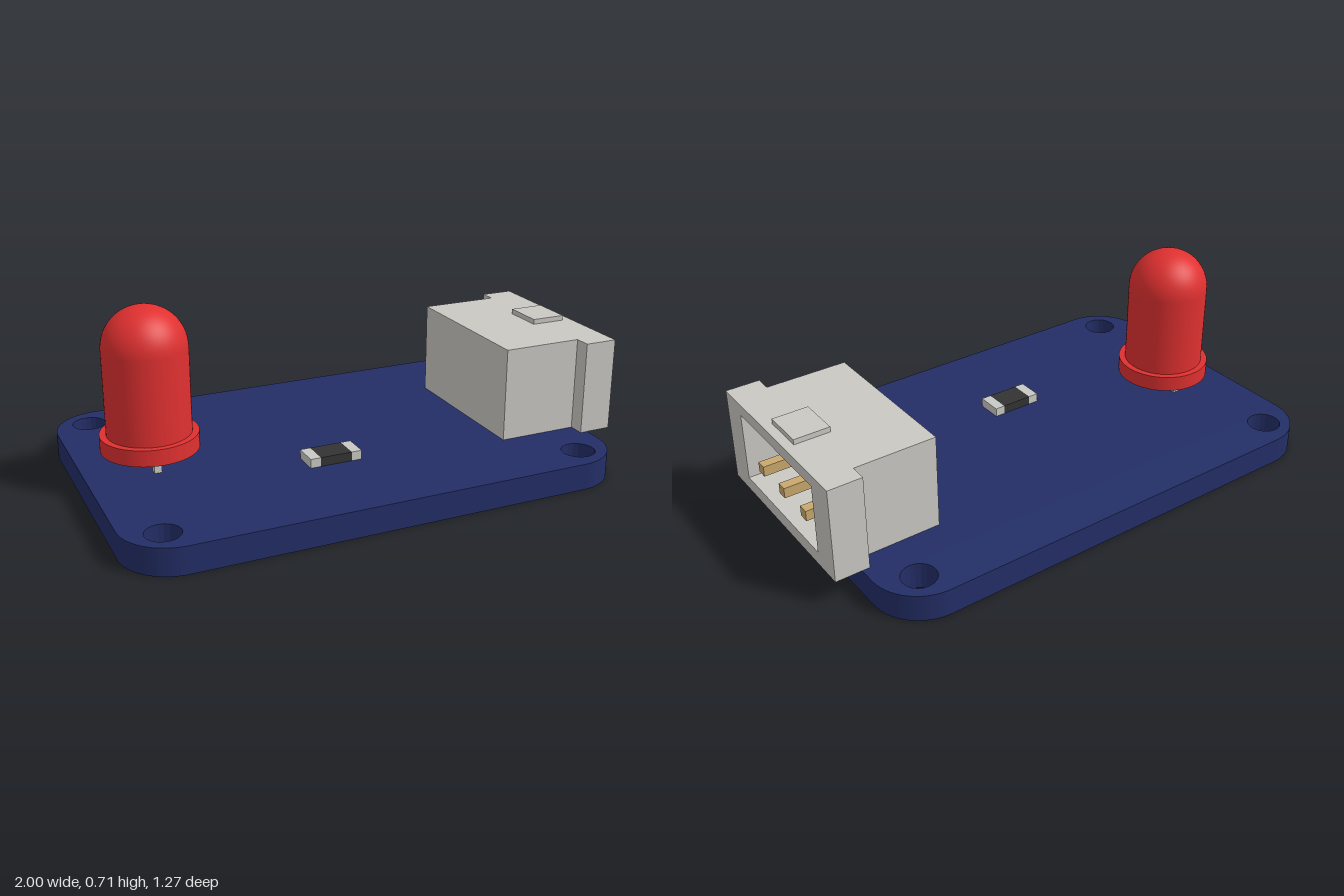
import * as THREE from 'three';

function material(name, color, extra = {}) {
  const m = new THREE.MeshStandardMaterial({ color, ...extra });
  m.name = name;
  return m;
}

// Rectangle path on a Shape or Path
function rect(path, x0, y0, x1, y1) {
  path.moveTo(x0, y0);
  path.lineTo(x1, y0);
  path.lineTo(x1, y1);
  path.lineTo(x0, y1);
  path.closePath();
  return path;
}

export function createModel() {
  const blue = material('board blue', 0x232e66);
  const red = material('lamp red', 0xe03030);
  const ivory = material('connector grey', 0xc9c8c3);
  const gold = material('pin gold', 0xc9a86c);
  const silver = material('solder silver', 0xc8c8c4);
  const black = material('resistor black', 0x333333);

  const model = new THREE.Group();
  model.name = 'lampModule';

  const add = (parent, name, geometry, mat) => {
    const mesh = new THREE.Mesh(geometry, mat);
    mesh.name = name;
    parent.add(mesh);
    return mesh;
  };
  // Box given by its lower and upper corners
  const box = (parent, name, mat, [x0, y0, z0], [x1, y1, z1]) => {
    const g = new THREE.BoxGeometry(x1 - x0, y1 - y0, z1 - z0);
    g.translate((x0 + x1) / 2, (y0 + y1) / 2, (z0 + z1) / 2);
    return add(parent, name, g, mat);
  };
  const group = (name) => {
    const g = new THREE.Group();
    g.name = name;
    model.add(g);
    return g;
  };

  // Circuit board: rounded slab with four mounting holes
  const top = 0.103, r = 0.19, L = -1, R = 0.9, W = 0.635;
  const outline = new THREE.Shape();
  outline.absarc(R - r, W - r, r, 0, Math.PI / 2);
  outline.absarc(L + r, W - r, r, Math.PI / 2, Math.PI);
  outline.absarc(L + r, -W + r, r, Math.PI, Math.PI * 1.5);
  outline.absarc(R - r, -W + r, r, Math.PI * 1.5, Math.PI * 2);
  for (const x of [-0.86, 0.76]) {
    for (const z of [-0.515, 0.515]) {
      outline.holes.push(new THREE.Path().absarc(x, z, 0.064, 0, Math.PI * 2, true));
    }
  }
  const slab = new THREE.ExtrudeGeometry(outline, { depth: top, bevelEnabled: false, curveSegments: 10 });
  slab.rotateX(-Math.PI / 2);
  add(model, 'circuitBoard', slab, blue);

  // Lamp: domed body, rim and two legs
  const lamp = group('lamp');
  lamp.position.set(-0.742, 0, -0.035);
  const profile = [new THREE.Vector2(0.157, 0.23)];
  for (let i = 0; i <= 16; i++) {
    const a = (i / 16) * Math.PI / 2;
    profile.push(new THREE.Vector2(i === 16 ? 0 : 0.157 * Math.cos(a), 0.553 + 0.157 * Math.sin(a)));
  }
  add(lamp, 'lampDome', new THREE.LatheGeometry(profile, 48), red);
  add(lamp, 'lampRim', new THREE.CylinderGeometry(0.182, 0.182, 0.062, 48), red).position.y = 0.2;
  for (const z of [-0.08, 0.08]) {
    box(lamp, 'lampLeg', silver, [-0.014, top, z - 0.014], [0.014, 0.172, z + 0.014]);
  }

  // Resistor: dark middle with metal end caps
  const resistor = group('resistor');
  box(resistor, 'resistorBody', black, [-0.185, top, 0.15], [-0.06, 0.138, 0.25]);
  box(resistor, 'resistorCap', silver, [-0.225, top, 0.15], [-0.185, 0.138, 0.25]);
  box(resistor, 'resistorCap', silver, [-0.06, top, 0.15], [-0.02, 0.138, 0.25]);

  // Connector: hollow housing open towards +x
  const connector = group('connector');
  const frame = (name, halfWidth, x0, x1) => {
    const shape = rect(new THREE.Shape(), -halfWidth, top, halfWidth, 0.468);
    shape.holes.push(rect(new THREE.Path(), -0.267, 0.155, 0.267, 0.422));
    const g = new THREE.ExtrudeGeometry(shape, { depth: x1 - x0, bevelEnabled: false });
    g.rotateY(Math.PI / 2);
    g.translate(x0, 0, -0.003);
    add(connector, name, g, ivory);
  };
  frame('connectorCollar', 0.38, 0.87, 1);
  frame('connectorHousing', 0.317, 0.605, 0.87);
  box(connector, 'connectorBack', ivory, [0.555, top, -0.32], [0.605, 0.468, 0.314]);
  box(connector, 'connectorTab', ivory, [0.825, 0.468, -0.084], [0.963, 0.488, 0.078]);
  for (const z of [-0.162, -0.001, 0.16]) {
    box(connector, 'connectorPin', gold, [0.6, 0.225, z - 0.02], [0.99, 0.265, z + 0.02]);
  }

  return model;
}
